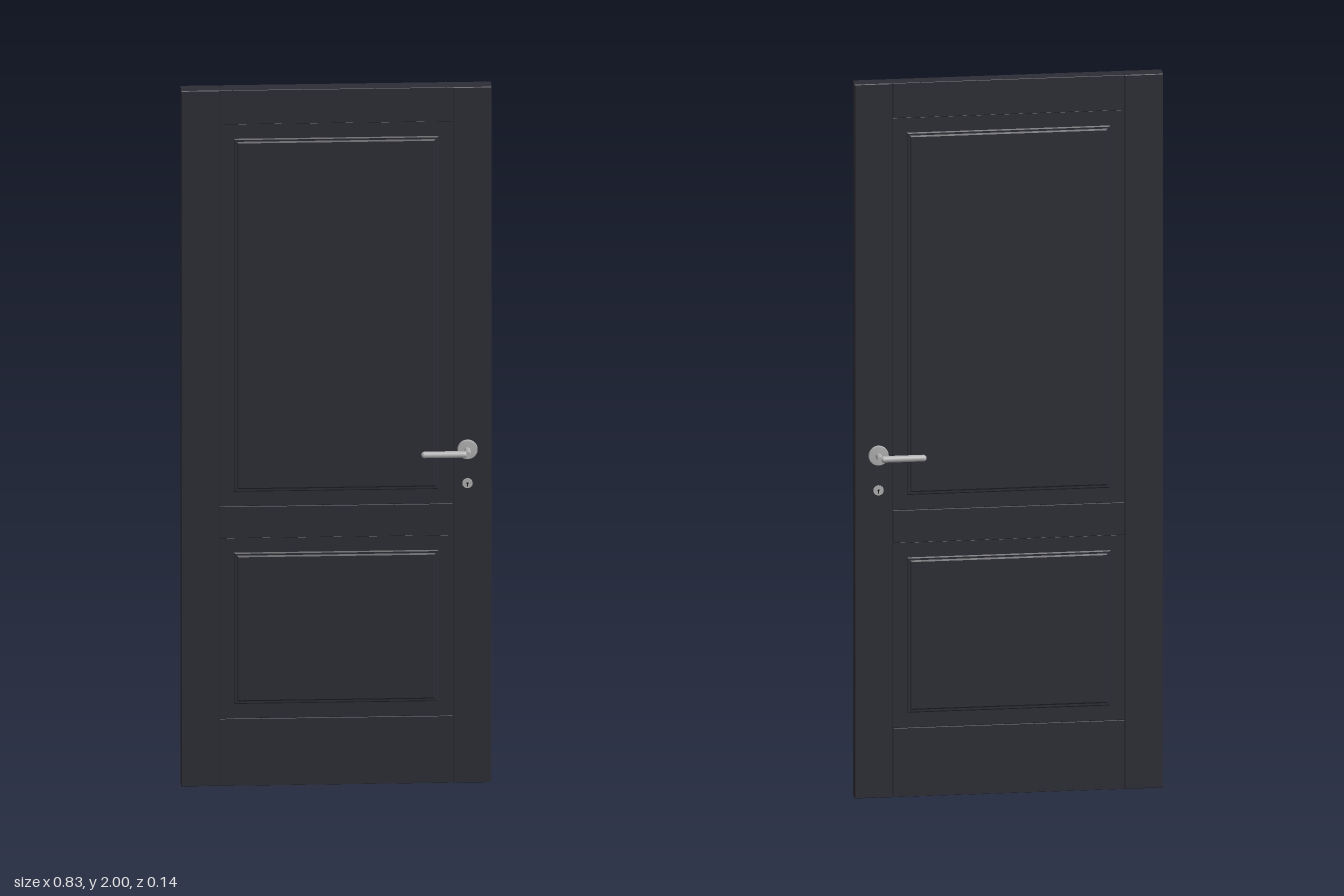
import * as THREE from 'three';

const paint = new THREE.MeshStandardMaterial({ color: 0x2d2d36 });
paint.name = 'dark paint';
const metal = new THREE.MeshStandardMaterial({ color: 0xb0b0b0 });
metal.name = 'brushed metal';
const dark = new THREE.MeshStandardMaterial({ color: 0x18181a });
dark.name = 'keyhole black';

// Board centred on z = 0 with chamfered edges on both faces
function board(name, x0, x1, y0, y1, halfZ, chamfer, depth = chamfer) {
  const shape = new THREE.Shape();
  shape.moveTo(x0, y0).lineTo(x1, y0).lineTo(x1, y1).lineTo(x0, y1).closePath();
  const geo = new THREE.ExtrudeGeometry(shape, {
    depth: 2 * (halfZ - depth), bevelEnabled: true, bevelSegments: 1,
    bevelSize: chamfer, bevelOffset: -chamfer, bevelThickness: depth,
  });
  geo.translate(0, 0, -(halfZ - depth));
  const mesh = new THREE.Mesh(geo, paint);
  mesh.name = name;
  return mesh;
}

// Disc or rod along z
function rod(name, r, z0, z1, material, segments = 32) {
  const geo = new THREE.CylinderGeometry(r, r, z1 - z0, segments);
  geo.rotateX(Math.PI / 2).translate(0, 0, (z0 + z1) / 2);
  const mesh = new THREE.Mesh(geo, material);
  mesh.name = name;
  return mesh;
}

// Raised panel: recessed border, stepped moulding and field
function panel(name, y0, y1) {
  const g = new THREE.Group();
  g.name = name;
  g.add(board('panelBorder', -0.311, 0.311, y0 - 0.042, y1 + 0.042, 0.0165, 0.001));
  g.add(board('panelMoulding', -0.273, 0.273, y0, y1, 0.0195, 0.003, 0.002));
  g.add(board('panelField', -0.265, 0.265, y0 + 0.008, y1 - 0.008, 0.022, 0.004, 0.0025));
  return g;
}

// Lever handle and key escutcheon for the +z face
function hardware(name) {
  const g = new THREE.Group();
  g.name = name;
  const handle = new THREE.Group();
  handle.name = 'leverHandle';
  handle.position.set(0.35, 0.96, 0);
  const profile = [[0, 0.029], [0.025, 0.029], [0.027, 0.027], [0.027, 0.018]]
    .map(([r, h]) => new THREE.Vector2(r, h)).reverse();
  const roseGeo = new THREE.LatheGeometry(profile, 32).rotateX(Math.PI / 2);
  const rose = new THREE.Mesh(roseGeo, metal);
  rose.name = 'rose';
  handle.add(rose, rod('neck', 0.0085, 0.028, 0.064, metal, 24));
  const grip = new THREE.Mesh(new THREE.CapsuleGeometry(0.009, 0.106, 8, 20), metal);
  grip.name = 'grip';
  grip.rotation.z = Math.PI / 2;
  grip.position.set(-0.063, 0, 0.0585);
  handle.add(grip);

  const lock = new THREE.Group();
  lock.name = 'escutcheon';
  lock.position.set(0.35, 0.862, 0);
  lock.add(rod('escutcheonPlate', 0.014, 0.018, 0.0225, metal));
  lock.add(rod('keyholeTop', 0.0028, 0.0222, 0.0228, dark, 16));
  const slot = new THREE.Mesh(new THREE.BoxGeometry(0.003, 0.009, 0.0006), dark);
  slot.name = 'keyholeSlot';
  slot.position.set(0, -0.004, 0.0225);
  lock.add(slot);
  g.add(handle, lock);
  return g;
}

export function createModel() {
  const door = new THREE.Group();
  door.name = 'door';

  // Full height stiles
  door.add(board('rightStile', -0.414, -0.3115, 0, 2, 0.02, 0.0018));
  door.add(board('leftStile', 0.3115, 0.414, 0, 2, 0.02, 0.0018));

  // Cross rails
  const rails = [['bottomRail', 0, 0.193], ['middleRail', 0.712, 0.803], ['topRail', 1.902, 2]];
  for (const [name, y0, y1] of rails) door.add(board(name, -0.311, 0.311, y0, y1, 0.0192, 0.001));

  door.add(panel('lowerPanel', 0.235, 0.67));
  door.add(panel('upperPanel', 0.845, 1.86));

  // Same hardware on both faces, mirrored in z
  const back = hardware('backHardware');
  back.scale.z = -1;
  door.add(hardware('frontHardware'), back);
  return door;
}
